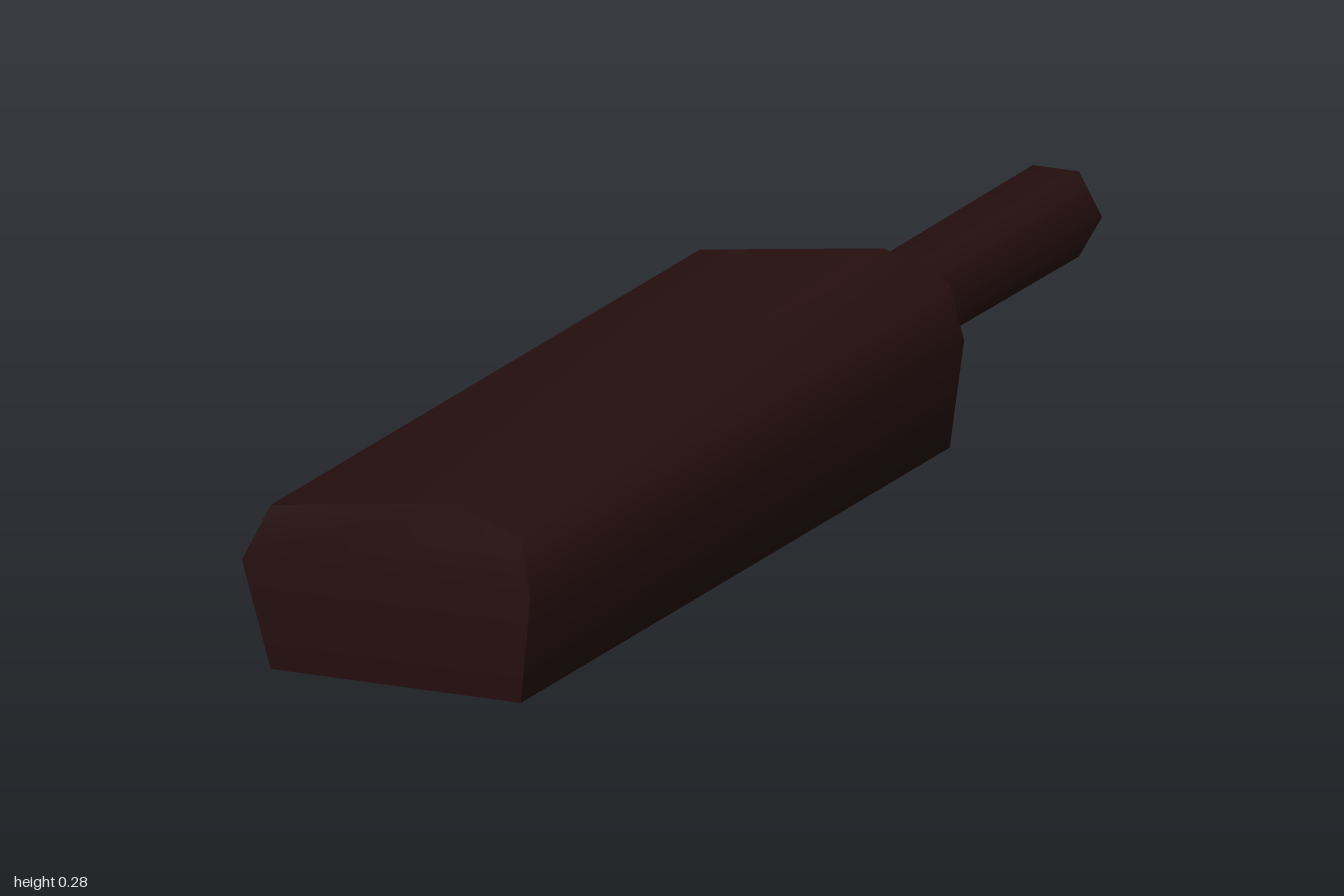
import * as THREE from 'three';

const darkBrown = new THREE.MeshStandardMaterial({ name: 'darkBrown', color: 0x260f0f });

// Cross-section of the blade, counter-clockwise seen from the front
const profile = [
  [-0.185, 0], [0.199, 0], [0.221, 0.157], [0.199, 0.237],
  [0.098, 0.275], [-0.185, 0.237], [-0.222, 0.157],
];
const BACK = -0.392, FRONT = 0.985, NOSE = 1;

// The widest corners push forward, which creases the front face
const frontRing = profile.map(([x, y], i) => [x, y, i === 2 || i === 6 ? NOSE : FRONT]);
const backRing = profile.map(([x, y]) => [x, y, BACK]);

function meshFrom(name, points, index) {
  const geometry = new THREE.BufferGeometry();
  geometry.setAttribute('position', new THREE.Float32BufferAttribute(points.flat(), 3));
  geometry.setIndex(index);
  geometry.computeVertexNormals();
  const mesh = new THREE.Mesh(geometry, darkBrown);
  mesh.name = name;
  return mesh;
}

// Six-sided bar along z, with a corner pointing to each side
function hexBar(name, rFront, rBack, zFront, zBack, openEnded) {
  const geometry = new THREE.CylinderGeometry(rFront, rBack, zFront - zBack, 6, 1, openEnded, Math.PI / 6);
  geometry.rotateX(Math.PI / 2);
  const mesh = new THREE.Mesh(geometry, darkBrown);
  mesh.name = name;
  mesh.position.set(0.071, 0.163, (zFront + zBack) / 2);
  return mesh;
}

export function createModel() {
  const model = new THREE.Group();
  model.name = 'paddle';

  // Blade: smooth sides between the two rings, plus separate end faces
  const n = profile.length;
  const sides = [];
  for (let i = 0; i < n; i++) {
    const j = (i + 1) % n;
    sides.push(i, i + n, j + n, i, j + n, j);
  }
  const blade = new THREE.Group();
  blade.name = 'blade';
  blade.add(meshFrom('bladeSides', [...frontRing, ...backRing], sides));
  blade.add(meshFrom('bladeFront', frontRing, [6, 0, 1, 6, 1, 2, 6, 2, 3, 6, 3, 4, 6, 4, 5]));
  const backFan = [];
  for (let i = 1; i < n - 1; i++) backFan.push(0, i + 1, i);
  blade.add(meshFrom('bladeBack', backRing, backFan));
  model.add(blade);

  // Collar and grip
  model.add(hexBar('collar', 0.073, 0.072, BACK, -0.435, true));
  model.add(hexBar('collarTaper', 0.072, 0.061, -0.435, -0.505, true));
  model.add(hexBar('grip', 0.069, 0.071, -0.5, -1, false));

  return model;
}
